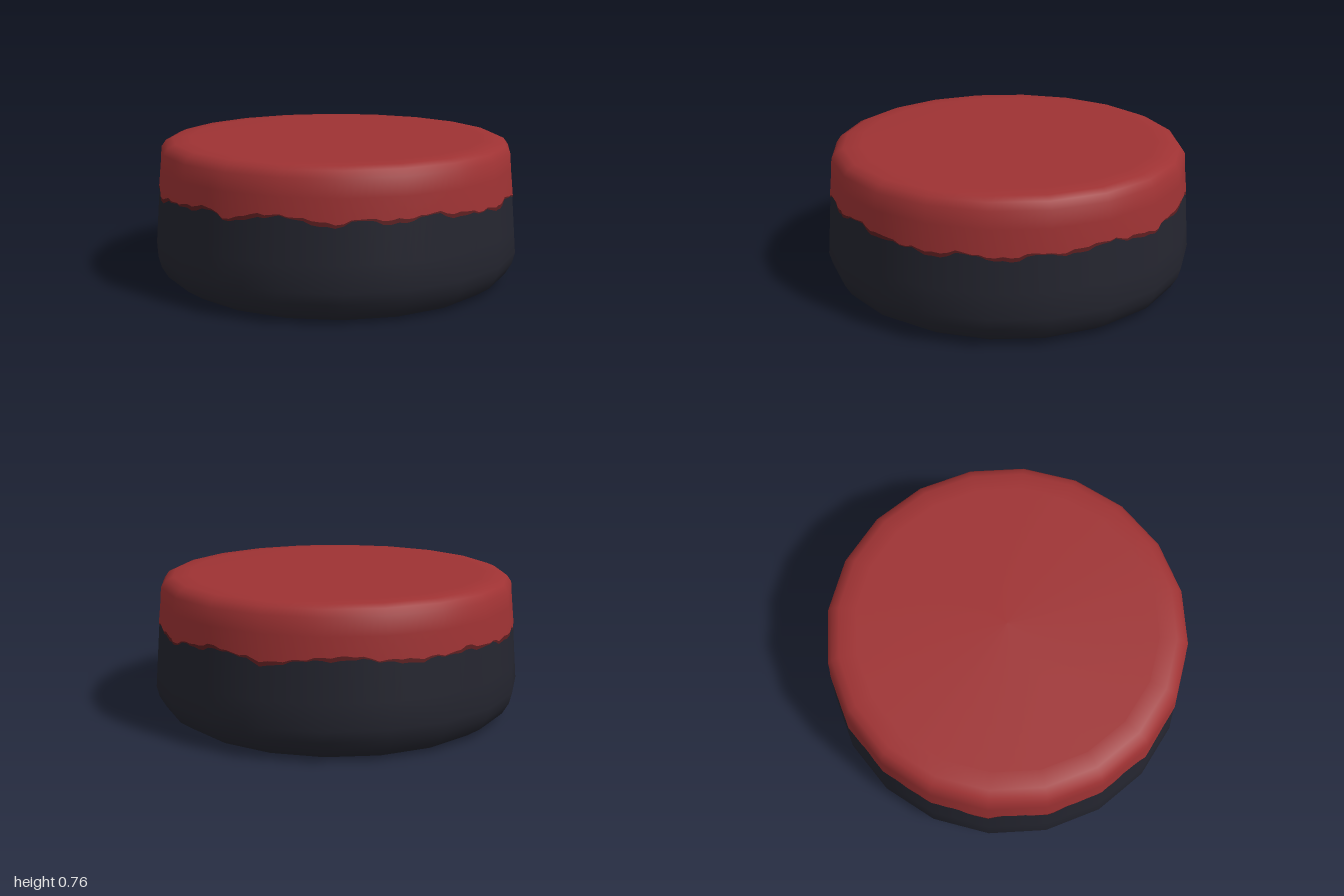
import * as THREE from 'three';

const SIDES = 20, STEPS = 160;

// Height of the icing edge every 10 degrees, starting at the front and turning towards +x
const EDGE = [0.51, 0.53, 0.495, 0.535, 0.53, 0.50, 0.52, 0.51, 0.525, 0.51, 0.49, 0.485,
  0.50, 0.48, 0.50, 0.495, 0.52, 0.505, 0.49, 0.51, 0.53, 0.505, 0.49, 0.515, 0.53, 0.51,
  0.50, 0.50, 0.515, 0.50, 0.49, 0.50, 0.475, 0.51, 0.49, 0.50];

function edgeHeight(a) {
  const t = (a / (Math.PI * 2)) * EDGE.length;
  const i = Math.floor(t), f = t - i, n = EDGE.length;
  const s = f * f * (3 - 2 * f);
  return EDGE[i % n] * (1 - s) + EDGE[(i + 1) % n] * s + 0.005 * Math.sin(a * 53) + 0.004 * Math.sin(a * 31 + 1);
}

// Outline of a regular polygon, relative to its corner radius
function polygon(a) {
  const side = (Math.PI * 2) / SIDES;
  return Math.cos(side / 2) / Math.cos((a % side) - side / 2);
}

// Rounded wall radius between the widest line and the shoulder
const wallRadius = (y) => 1 - (0.045 * (y - 0.17)) / (0.71 - 0.17);

// Row of constant radius, height and normal elevation in degrees
const row = (r, y, tilt) => () => [r, y, tilt];

// Skin stretched through rows, listed from bottom to top
function band(name, material, rows) {
  const pos = [], nor = [], index = [];
  rows.forEach((at, j) => {
    for (let i = 0; i <= STEPS; i++) {
      const a = ((i % STEPS) / STEPS) * Math.PI * 2;
      const [r, y, tilt] = at(a);
      const e = THREE.MathUtils.degToRad(tilt), p = r * polygon(a);
      pos.push(p * Math.sin(a), y, p * Math.cos(a));
      nor.push(Math.cos(e) * Math.sin(a), Math.sin(e), Math.cos(e) * Math.cos(a));
      if (j > 0 && i < STEPS) {
        const c = j * (STEPS + 1) + i, b = c - STEPS - 1;
        index.push(b, b + 1, c + 1, b, c + 1, c);
      }
    }
  });
  const geometry = new THREE.BufferGeometry();
  geometry.setAttribute('position', new THREE.Float32BufferAttribute(pos, 3));
  geometry.setAttribute('normal', new THREE.Float32BufferAttribute(nor, 3));
  geometry.setIndex(index);
  const mesh = new THREE.Mesh(geometry, material);
  mesh.name = name;
  return mesh;
}

export function createModel() {
  const make = (name, color) => {
    const m = new THREE.MeshStandardMaterial({ color });
    m.name = name;
    return m;
  };
  const red = make('red', 0x9e3233);
  const darkRed = make('dark red', 0x5c1e20);
  const navy = make('dark navy', 0x24252f);

  // The shadow lip under the icing varies in thickness
  const lipHeight = (a) => edgeHeight(a) - 0.014 - 0.008 * Math.sin(a * 17);
  const lipBottom = (a) => { const y = lipHeight(a); return [wallRadius(y), y, 4]; };
  const lipTop = (a) => { const y = edgeHeight(a); return [wallRadius(y) + 0.003, y, 4]; };

  const group = new THREE.Group();
  group.name = 'roundCake';
  group.add(
    // Underside
    band('underside', red, [row(0, 0, -90), row(0.82, 0, -90)]),
    band('undersideRim', darkRed, [row(0.82, 0, -90), row(0.875, 0, -85)]),
    // Dark body with a rounded foot
    band('body', navy, [row(0.875, 0, -65), row(0.95, 0.05, -42), row(0.985, 0.11, -24),
      row(1, 0.17, -6), row(wallRadius(0.3), 0.3, 4), lipBottom]),
    // Icing with a wavy edge and soft shoulder
    band('icingLip', darkRed, [lipBottom, lipTop]),
    band('icing', red, [lipTop, row(wallRadius(0.62), 0.62, 5), row(0.955, 0.71, 20),
      row(0.93, 0.745, 48), row(0.89, 0.762, 75), row(0.8, 0.765, 89), row(0, 0.765, 90)]),
  );
  return group;
}
